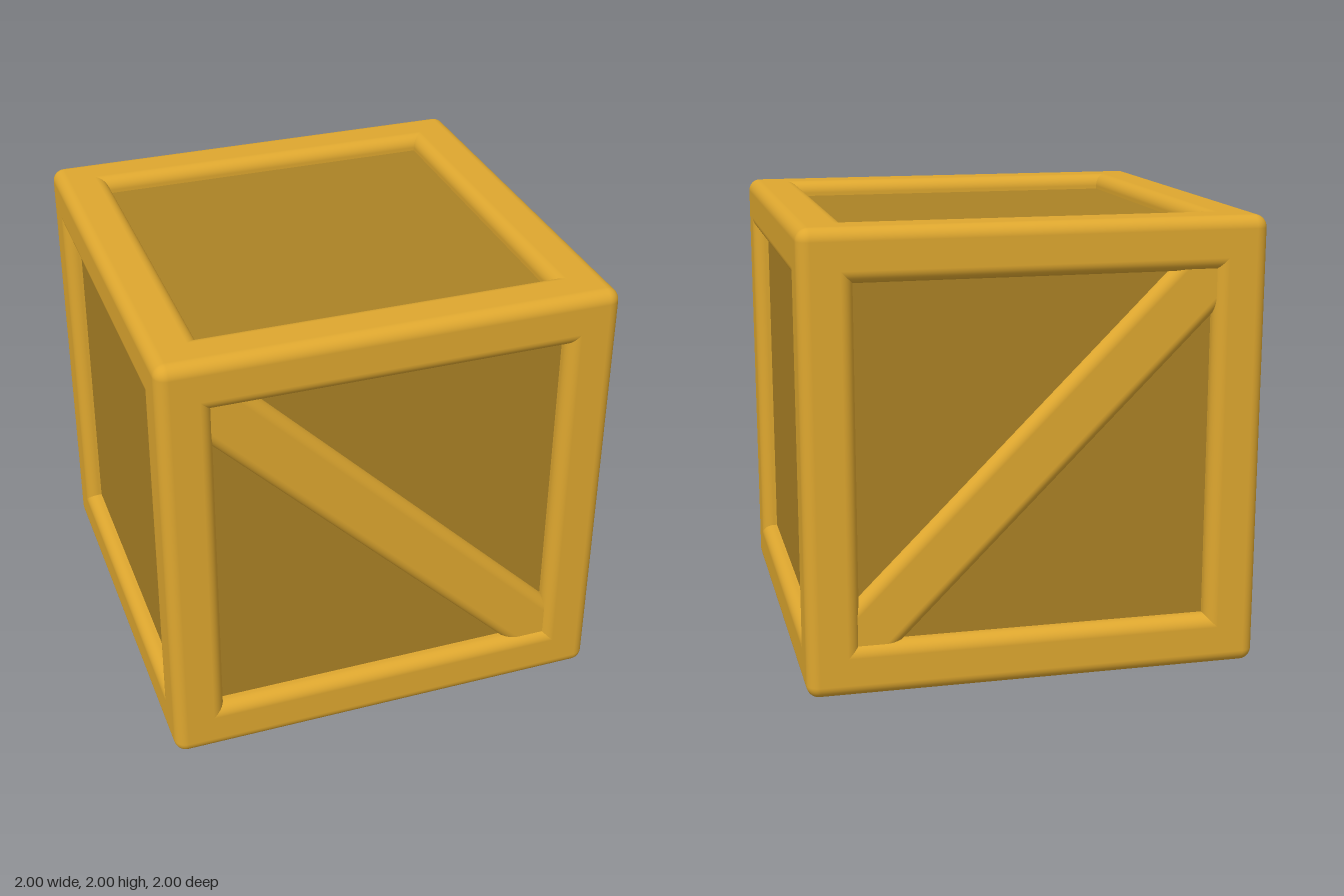
import * as THREE from 'three';
import { RoundedBoxGeometry } from 'three/addons/geometries/RoundedBoxGeometry.js';

const BEAM = 0.23;     // width of the frame beams
const PANEL = 0.93;    // distance of the panels from the centre
const ROUND = 0.055;   // edge rounding

export function createModel() {
  const crate = new THREE.Group();
  crate.name = 'crate';

  const frameWood = new THREE.MeshStandardMaterial({ color: 0xdea72f });
  frameWood.name = 'frameWood';
  const panelWood = new THREE.MeshStandardMaterial({ color: 0xab8225 });
  panelWood.name = 'panelWood';

  const add = (parent, name, geometry, material) => {
    const mesh = new THREE.Mesh(geometry, material);
    mesh.name = name;
    parent.add(mesh);
    return mesh;
  };

  // Recessed panels: one inner box seen through all six openings
  add(crate, 'panels', new THREE.BoxGeometry(PANEL * 2, PANEL * 2, PANEL * 2), panelWood).position.y = 1;

  // Frame: four rounded beams along each axis
  const frame = new THREE.Group();
  frame.name = 'frame';
  frame.position.y = 1;
  crate.add(frame);
  const offset = 1 - BEAM / 2;
  ['x', 'y', 'z'].forEach((axis, i) => {
    const size = [BEAM, BEAM, BEAM];
    size[i] = 2;
    const geometry = new RoundedBoxGeometry(...size, 5, ROUND);
    for (const a of [-offset, offset]) {
      for (const b of [-offset, offset]) {
        const place = [0, 0, 0];
        place[(i + 1) % 3] = a;
        place[(i + 2) % 3] = b;
        add(frame, axis + 'Beam', geometry, frameWood).position.set(...place);
      }
    }
  });

  // Diagonal braces on the front and back, ends buried in the frame
  const brace = new RoundedBoxGeometry(2.34, 0.275, 0.2, 5, 0.05);
  for (const [name, side] of [['frontBrace', 1], ['backBrace', -1]]) {
    const mesh = add(crate, name, brace, frameWood);
    mesh.position.set(0, 1, side * 0.875);
    mesh.rotation.z = -Math.PI / 4;
  }

  return crate;
}
